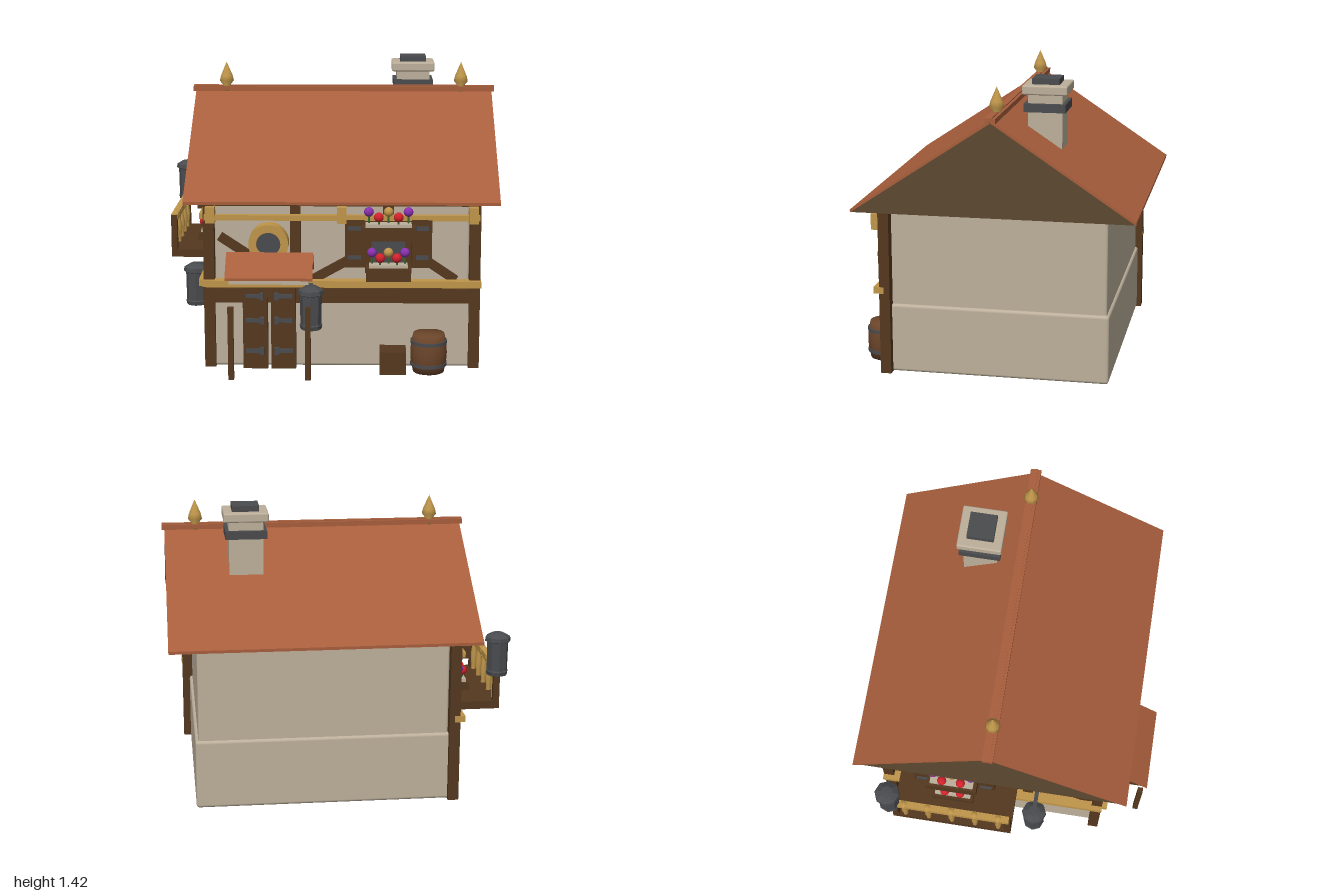
import * as THREE from 'three';
import { RoundedBoxGeometry } from 'three/addons/geometries/RoundedBoxGeometry.js';

const mat = (name, color, flat = false) => {
  const m = new THREE.MeshStandardMaterial({ color, flatShading: flat });
  m.name = name;
  return m;
};

export function createModel() {
  const M = {
    roof: mat('roof tile', 0xa85e3c), wall: mat('stone', 0xbdb09b), gable: mat('gable boards', 0x5c4830),
    wood: mat('dark timber', 0x54381f), gold: mat('golden wood', 0xbf954a), iron: mat('dark iron', 0x4a4b4e),
    red: mat('red petals', 0xd4222c), purple: mat('purple petals', 0x8a30b0), green: mat('stems', 0x3c6a32),
    barrel: mat('barrel wood', 0x6b452a),
  };
  const add = (parent, name, geo, m, x = 0, y = 0, z = 0) => {
    const mesh = new THREE.Mesh(geo, m);
    mesh.name = name;
    mesh.position.set(x, y, z);
    parent.add(mesh);
    return mesh;
  };
  const box = (p, name, m, w, h, d, x, y, z) => add(p, name, new THREE.BoxGeometry(w, h, d), m, x, y, z);
  const group = (p, name) => {
    const g = new THREE.Group();
    g.name = name;
    p.add(g);
    return g;
  };
  const lathe = (pts, sides) => new THREE.LatheGeometry(pts.map(([r, y]) => new THREE.Vector2(r, y)), sides);

  const root = new THREE.Group();
  root.name = 'timberHouse';
  const house = group(root, 'house');
  house.rotation.y = Math.PI / 4;

  // Two stone storeys, the lower one slightly wider
  add(house, 'lowerWall', new RoundedBoxGeometry(1.24, 0.34, 1.08, 2, 0.015), M.wall, 0, 0.17, 0);
  add(house, 'upperWall', new RoundedBoxGeometry(1.21, 0.53, 1.055, 2, 0.012), M.wall, 0, 0.575, 0);
  for (const [sx, sz] of [[-1, 1], [1, 1], [-1, -1]])
    box(house, 'cornerPost', M.wood, 0.052, 0.83, 0.052, sx * 0.631, 0.415, sz * 0.537);

  // Gabled roof: solid prism with tiled sheets on both slopes
  const gabledRoof = (p, name, halfX, halfZ, y0, y1, thick, coreMat) => {
    const g = group(p, name);
    const prism = new THREE.Shape([[-halfZ, y0], [halfZ, y0], [0, y1]].map(a => new THREE.Vector2(...a)));
    const sheet = new THREE.Shape([[-halfZ, y0], [-halfZ, y0 - thick], [0, y1 - thick], [halfZ, y0 - thick],
      [halfZ, y0], [0, y1]].reverse().map(a => new THREE.Vector2(...a)));
    const extrude = (part, shape, half, m, dy) => {
      const geo = new THREE.ExtrudeGeometry(shape, { depth: half * 2, bevelEnabled: false });
      geo.translate(0, 0, -half);
      add(g, part, geo, m, 0, dy, 0).rotation.y = Math.PI / 2;
    };
    extrude('gableCore', prism, halfX - 0.008, coreMat, 0);
    extrude('tiles', sheet, halfX, M.roof, thick);
    return g;
  };
  gabledRoof(house, 'mainRoof', 0.737, 0.672, 0.818, 1.265, 0.014, M.gable);
  for (const s of [-1, 1]) box(house, 'ridgeTile', M.roof, 1.5, 0.024, 0.024, 0, 1.277, s * 0.014);
  box(house, 'ridgeCap', M.roof, 1.5, 0.02, 0.022, 0, 1.284, 0);

  // Finials
  const finial = lathe([[0, 0], [0.03, 0], [0.02, 0.03], [0.036, 0.05], [0.03, 0.075], [0, 0.145]], 10);
  for (const s of [-1, 1]) add(house, 'finial', finial, M.gold, s * 0.585, 1.265, 0);

  // Chimney
  const chimney = group(house, 'chimney');
  chimney.position.set(0.35, 0, -0.2);
  box(chimney, 'shaft', M.wall, 0.165, 0.34, 0.165, 0, 1.2, 0);
  box(chimney, 'band', M.iron, 0.2, 0.04, 0.2, 0, 1.288, 0);
  add(chimney, 'cap', new RoundedBoxGeometry(0.216, 0.045, 0.216, 2, 0.008), M.wall, 0, 1.373, 0);
  box(chimney, 'flue', M.iron, 0.13, 0.03, 0.13, 0, 1.408, 0);

  // Timber faces: local z points outward, local x runs along the wall
  const beam = (p, x0, y0, x1, y1, z) => {
    const b = box(p, 'brace', M.wood, Math.hypot(x1 - x0, y1 - y0), 0.042, 0.03, (x0 + x1) / 2, (y0 + y1) / 2, z);
    b.rotation.z = Math.atan2(y1 - y0, x1 - x0);
  };
  const face = (name, half, d, studs) => {
    const g = group(house, name);
    box(g, 'midBeam', M.wood, half * 2, 0.07, 0.045, 0, 0.355, d);
    box(g, 'topBeam', M.wood, half * 2, 0.03, 0.04, 0, 0.805, d);
    box(g, 'lowerRail', M.gold, half * 2 + 0.06, 0.032, 0.05, 0, 0.418, d + 0.025);
    box(g, 'upperRail', M.gold, half * 2 + 0.04, 0.026, 0.03, 0, 0.738, d + 0.03);
    for (const x of studs) box(g, 'stud', M.wood, 0.05, 0.45, 0.035, x, 0.6, d - 0.008);
    return g;
  };

  // Flower box with a row of blossoms
  const blossom = new THREE.SphereGeometry(0.023, 10, 8);
  const stem = new THREE.CylinderGeometry(0.005, 0.005, 0.05, 5);
  const planter = (p, w, x, y, z) => {
    const g = group(p, 'planter');
    g.position.set(x, y, z);
    box(g, 'trough', M.wood, w, 0.062, 0.085, 0, 0.031, 0);
    box(g, 'stoneLip', M.wall, w * 0.86, 0.022, 0.06, 0, 0.066, 0);
    [M.purple, M.red, M.gold, M.red, M.purple].forEach((m, i) => {
      const fx = (i - 2) * w * 0.185, fz = i % 2 ? 0.02 : -0.008, fy = 0.118 + (i % 2 ? -0.008 : 0.012);
      add(g, 'stem', stem, M.green, fx, fy - 0.03, fz);
      add(g, 'flower', blossom, m, fx, fy, fz);
    });
  };
  const flowerWindow = (p, x, d) => {
    const g = group(p, 'flowerWindow');
    box(g, 'frame', M.wood, 0.22, 0.26, 0.05, x, 0.6, d + 0.01);
    box(g, 'pane', M.iron, 0.16, 0.16, 0.008, x, 0.59, d + 0.038);
    for (const s of [-1, 1]) {
      box(g, 'shutter', M.wood, 0.095, 0.23, 0.03, x + s * 0.158, 0.615, d + 0.03);
      for (const y of [0.55, 0.69]) box(g, 'shutterHinge', M.iron, 0.06, 0.018, 0.012, x + s * 0.16, y, d + 0.048);
    }
    planter(g, 0.25, x, 0.645, d + 0.08);
    planter(g, 0.21, x, 0.45, d + 0.08);
  };

  const front = face('frontFace', 0.63, 0.54, [-0.22, 0.22]);
  const side = face('balconyFace', 0.535, 0.63, [-0.18, 0.18]);
  side.rotation.y = -Math.PI / 2;
  flowerWindow(front, 0.22, 0.54);
  flowerWindow(side, -0.19, 0.63);
  for (const x of [-0.62, 0, 0.62]) box(front, 'railBlock', M.gold, 0.045, 0.078, 0.05, x, 0.752, 0.575);
  beam(front, -0.58, 0.64, -0.28, 0.44, 0.535);
  beam(front, -0.14, 0.43, 0.2, 0.62, 0.535);
  beam(front, 0.26, 0.62, 0.54, 0.43, 0.535);
  beam(side, -0.1, 0.43, 0.16, 0.62, 0.622);
  beam(side, 0.21, 0.61, 0.5, 0.43, 0.622);

  // Double door with strap hinges
  const door = group(front, 'door');
  door.position.x = -0.345;
  for (const s of [-1, 1]) {
    box(door, 'doorLeaf', M.wood, 0.118, 0.43, 0.04, s * 0.067, 0.215, 0.565);
    for (const y of [0.09, 0.24, 0.36]) {
      box(door, 'strapHinge', M.iron, 0.08, 0.018, 0.016, s * 0.072, y, 0.589);
      box(door, 'hingeKnuckle', M.iron, 0.02, 0.034, 0.024, s * 0.035, y, 0.592);
    }
  }

  // Round window
  const ring = new THREE.Shape().absarc(0, 0, 0.094, 0, Math.PI * 2);
  ring.holes.push(new THREE.Path().absarc(0, 0, 0.057, 0, Math.PI * 2, true));
  add(front, 'roundFrame', new THREE.ExtrudeGeometry(ring,
    { depth: 0.075, bevelEnabled: false, curveSegments: 20 }), M.gold, -0.345, 0.615, 0.535);
  add(front, 'roundPane', new THREE.CylinderGeometry(0.058, 0.058, 0.06, 24), M.iron, -0.345, 0.615, 0.56)
    .rotation.x = Math.PI / 2;

  // Door canopy
  const canopy = gabledRoof(front, 'canopy', 0.203, 0.11, 0.482, 0.58, 0.012, M.wood);
  canopy.position.set(-0.335, 0, 0.665);
  box(canopy, 'canopySoffit', M.wall, 0.37, 0.022, 0.19, 0, 0.472, 0);
  for (const s of [-1, 1]) box(canopy, 'canopyPost', M.wood, 0.026, 0.35, 0.026, s * 0.18, 0.175, 0.085);

  // Lanterns
  const lantern = lathe([[0, 0], [0.05, 0], [0.054, 0.02], [0.05, 0.025], [0.052, 0.165], [0.063, 0.17],
    [0.06, 0.19], [0.03, 0.208], [0, 0.21]], 8).toNonIndexed();
  lantern.computeVertexNormals();
  for (const [x, y, z] of [[-0.145, 0.212, 0.626], [-0.73, 0.222, 0.226], [-0.845, 0.615, -0.484]])
    add(house, 'lantern', lantern, M.iron, x, y, z);
  box(front, 'lanternBracket', M.iron, 0.02, 0.02, 0.09, -0.145, 0.415, 0.58);
  box(side, 'lanternBracket', M.iron, 0.02, 0.02, 0.1, 0.226, 0.425, 0.68);

  // Balcony
  const balcony = group(side, 'balcony');
  balcony.position.set(-0.175, 0, 0);
  box(balcony, 'deck', M.wood, 0.6, 0.038, 0.24, 0, 0.455, 0.745);
  for (const s of [-1, 1]) box(balcony, 'newel', M.wood, 0.03, 0.21, 0.03, s * 0.283, 0.545, 0.85);
  box(balcony, 'handrail', M.gold, 0.57, 0.032, 0.032, 0.005, 0.636, 0.85);
  const baluster = lathe([[0.012, 0], [0.012, 0.03], [0.018, 0.08], [0.011, 0.12], [0.012, 0.16]], 8);
  const knob = new THREE.SphereGeometry(0.022, 8, 6);
  for (let i = -2; i <= 2; i++) {
    add(balcony, 'baluster', baluster, M.gold, i * 0.118, 0.47, 0.85);
    add(balcony, 'balusterCap', knob, M.gold, i * 0.118, 0.638, 0.85);
  }

  // Barrel and crate by the wall
  const barrel = group(front, 'barrel');
  barrel.position.set(0.414, 0, 0.605);
  add(barrel, 'staves', lathe([[0, 0], [0.074, 0], [0.084, 0.05], [0.087, 0.092], [0.084, 0.14], [0.074, 0.187],
    [0, 0.187]], 20), M.barrel);
  for (const y of [0.04, 0.148])
    add(barrel, 'hoop', new THREE.CylinderGeometry(0.087, 0.087, 0.016, 20), M.iron, 0, y, 0);
  box(front, 'crate', M.wood, 0.125, 0.11, 0.125, 0.243, 0.055, 0.613);

  return root;
}
